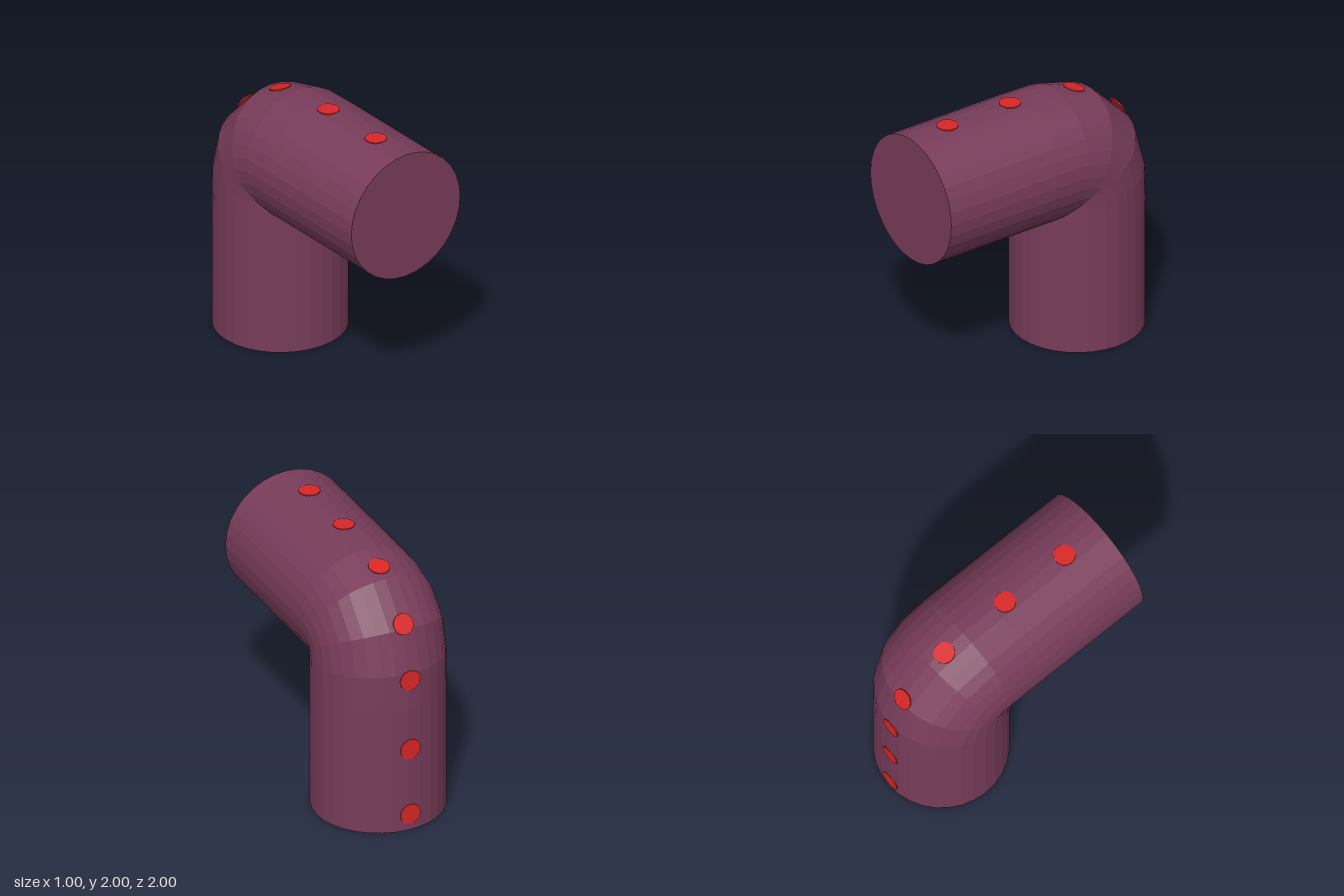
import * as THREE from 'three';

const RADIUS = 0.5;
const SIDES = 32;

// Half of the centre line: [z, y, tilt in degrees of the ring's outward normal from up]
const half = [[1, 1.5, 0], [0, 1.5, 0], [-0.242, 1.495, 6], [-0.384, 1.46, 28]];
// The other half mirrors across the diagonal of the bend
const stations = [...half, ...half.map(([z, y, t]) => [1 - y, 1 - z, 90 - t]).reverse()];

const outward = (deg) => {
  const t = THREE.MathUtils.degToRad(deg);
  return new THREE.Vector3(0, Math.cos(t), -Math.sin(t));
};

// Faceted tube swept through the stations, closed at both ends
function elbowGeometry() {
  const pos = [];
  const index = [];
  for (const [z, y, tilt] of stations) {
    const n = outward(tilt);
    for (let j = 0; j < SIDES; j++) {
      const a = (j / SIDES) * Math.PI * 2;
      const r = RADIUS * Math.cos(a);
      pos.push(RADIUS * Math.sin(a), y + n.y * r, z + n.z * r);
    }
  }
  const last = stations.length - 1;
  const startCentre = pos.length / 3;
  pos.push(0, stations[0][1], stations[0][0]);
  pos.push(0, stations[last][1], stations[last][0]);
  for (let j = 0; j < SIDES; j++) {
    const k = (j + 1) % SIDES;
    for (let i = 0; i < last; i++) {
      const a = i * SIDES;
      const b = a + SIDES;
      index.push(a + j, a + k, b + k, a + j, b + k, b + j);
    }
    index.push(startCentre, k, j);
    index.push(startCentre + 1, last * SIDES + j, last * SIDES + k);
  }
  const indexed = new THREE.BufferGeometry();
  indexed.setAttribute('position', new THREE.Float32BufferAttribute(pos, 3));
  indexed.setIndex(index);
  const geometry = indexed.toNonIndexed(); // separate faces give flat facets
  geometry.computeVertexNormals();
  return geometry;
}

export function createModel() {
  const model = new THREE.Group();
  model.name = 'elbowPipe';

  const plum = new THREE.MeshStandardMaterial({ color: 0x783c5a });
  plum.name = 'plum';
  const red = new THREE.MeshStandardMaterial({ color: 0xd92626 });
  red.name = 'red';

  const pipe = new THREE.Mesh(elbowGeometry(), plum);
  pipe.name = 'pipe';
  model.add(pipe);

  // Row of red spots along the outer spine: [z, y, tilt]
  const spots = [
    [0.66, 2, 0], [0.095, 2, 0], [-0.485, 1.939, 15.3], [-0.882, 1.653, 60],
    [-0.995, 1.24, 88.6], [-1, 0.67, 90], [-1, 0.13, 90],
  ];
  const spotGeometry = new THREE.CylinderGeometry(0.08, 0.08, 0.008, 32);
  spots.forEach(([z, y, tilt], i) => {
    const spot = new THREE.Mesh(spotGeometry, red);
    spot.name = `spot${i + 1}`;
    spot.position.set(-0.015, y, z);
    spot.rotation.x = -THREE.MathUtils.degToRad(tilt);
    model.add(spot);
  });

  return model;
}
